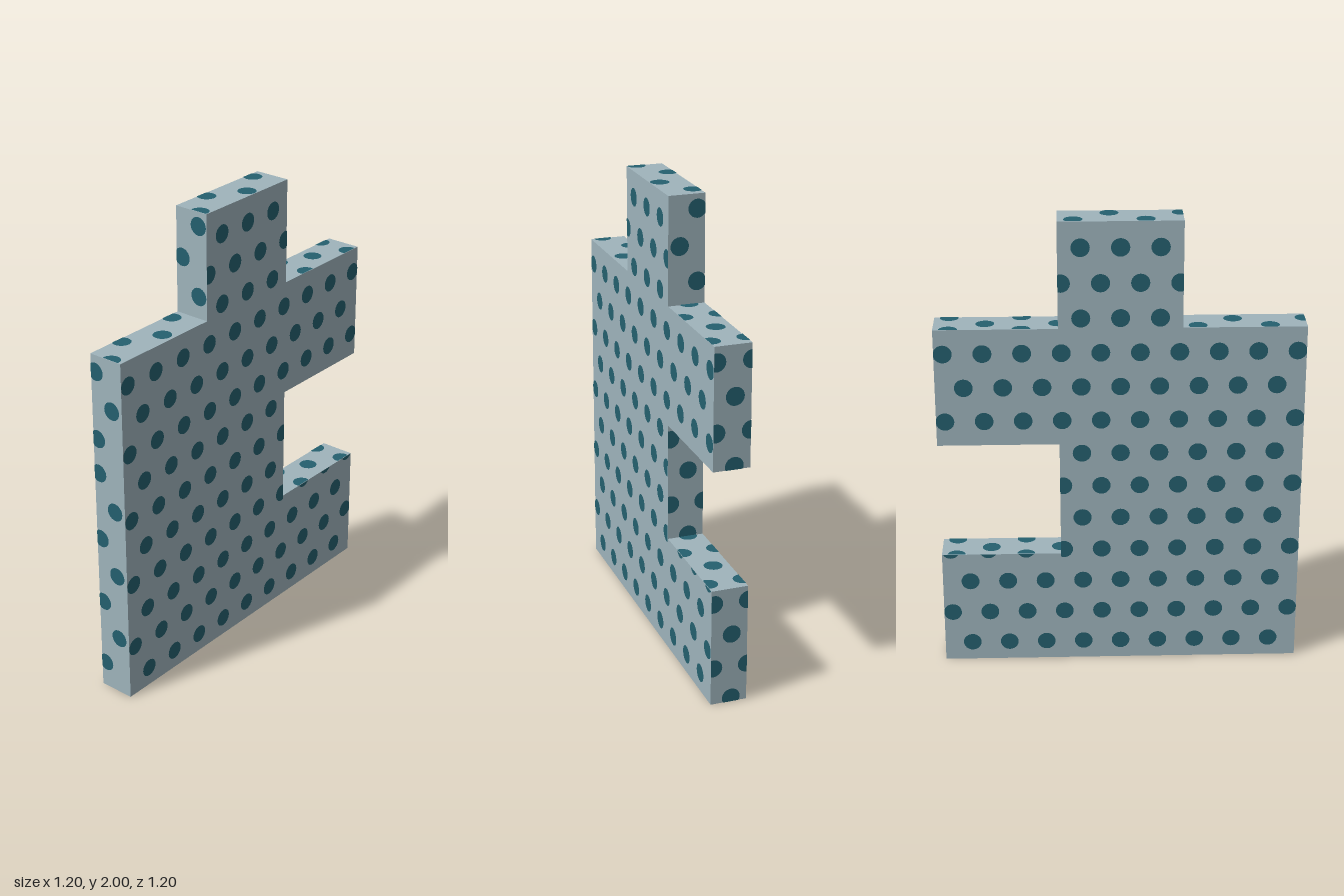
import * as THREE from 'three';
import { mergeGeometries } from 'three/addons/utils/BufferGeometryUtils.js';

const H = 0.771;          // half width of the plate
const C = H / 3;          // half width of the tab, and depth line of the notch
const T = 0.1556;         // plate thickness
const Y1 = 0.515, Y2 = 1.03, Y3 = 1.545, Y4 = 2;
const R = 0.039;          // dot radius
const LIFT = 0.0015;

// A flat dot cut off at the edges of a rectangle [x0, x1, y0, y1]
function dot(x, y, [x0, x1, y0, y1]) {
  const geo = new THREE.CircleGeometry(R, 24);
  const p = geo.attributes.position;
  for (let i = 0; i < p.count; i++) {
    p.setXY(i,
      THREE.MathUtils.clamp(p.getX(i) + x, x0, x1),
      THREE.MathUtils.clamp(p.getY(i) + y, y0, y1));
  }
  return geo;
}

// Dots of the broad faces: staggered rows, cut to the outline
function broadDots() {
  const list = [];
  for (let row = 0; row < 13; row++) {
    const y = 0.085 + row * 0.1505;
    const n = row % 2 ? 10 : 9;
    for (let i = 0; i < n; i++) {
      const x = (i - (n - 1) / 2) * 0.163;
      const inTab = y > Y3, inNotch = y > Y1 && y < Y2;
      if (inTab && Math.abs(x) > C) continue;
      if (inNotch && x > C) {
        // only the part reaching down into the lower arm remains
        if (y - R < Y1) list.push(dot(x, y, [C, H, 0, Y1]));
        continue;
      }
      list.push(dot(x, y, [inTab ? -C : -H, inTab || inNotch ? C : H, 0, Y4]));
    }
  }
  return mergeGeometries(list);
}

// Rows for narrow faces: zigzag, or single dots alternating with edge pairs
const zigzag = (start, step, count, a, b) =>
  Array.from({ length: count }, (_, i) => [start + i * step, i % 2 ? b : a]);
const triple = (start, step, count, pairFirst) =>
  Array.from({ length: count }, (_, i) => {
    const s = start + i * step;
    return (i % 2 === 0) === pairFirst ? [[s, 0.068], [s, -0.078]] : [[s, -0.01]];
  }).flat();

export function createModel() {
  const plateMat = new THREE.MeshStandardMaterial({ color: 0x9fb4bc });
  plateMat.name = 'paleGreyBlue';
  const dotMat = new THREE.MeshStandardMaterial({ color: 0x24606f });
  dotMat.name = 'darkTeal';

  const model = new THREE.Group();
  model.name = 'dottedPlate';
  model.rotation.y = Math.PI / 4;
  const add = (name, geo, mat) => {
    const mesh = new THREE.Mesh(geo, mat);
    mesh.name = name;
    model.add(mesh);
  };

  // Plate with a top tab and a side notch
  const outline = new THREE.Shape([
    [-H, 0], [H, 0], [H, Y1], [C, Y1], [C, Y2], [H, Y2], [H, Y3],
    [C, Y3], [C, Y4], [-C, Y4], [-C, Y3], [-H, Y3],
  ].map(([x, y]) => new THREE.Vector2(x, y)));
  const plate = new THREE.ExtrudeGeometry(outline, { depth: T, bevelEnabled: false });
  add('plate', plate.translate(0, 0, -T / 2), plateMat);

  // Dots on the broad faces; the back mirrors the front
  add('frontDots', broadDots().translate(0, 0, T / 2 + LIFT), dotMat);
  const back = broadDots().scale(1, 1, -1).translate(0, 0, -T / 2 - LIFT);
  const idx = back.index.array;
  for (let i = 0; i < idx.length; i += 3) [idx[i], idx[i + 1]] = [idx[i + 1], idx[i]];
  back.computeVertexNormals();
  add('backDots', back, dotMat);

  const W = T / 2;
  // Dots on an upright edge face; dots are [height, depth], side is -1 or 1
  const sideDots = (name, x, side, y0, y1, dots) => {
    const geo = mergeGeometries(dots.map(([y, w]) => dot(-side * w, y, [-W, W, y0, y1])));
    add(name, geo.rotateY(side * Math.PI / 2).translate(x + side * LIFT, 0, 0), dotMat);
  };
  sideDots('rightEdgeDots', -H, -1, 0, Y3, [
    ...zigzag(0.12, 0.151, 7, -0.054, 0.026), ...zigzag(1.18, 0.147, 3, -0.054, 0.026)]);
  sideDots('tabRightDots', -C, -1, Y3, Y4, zigzag(1.64, 0.15, 3, 0.037, -0.048));
  sideDots('tabLeftDots', C, 1, Y3, Y4, zigzag(1.64, 0.15, 3, -0.045, 0.03));
  sideDots('upperArmEndDots', H, 1, Y2, Y3, triple(1.045, 0.145, 4, false));
  sideDots('notchWallDots', C, 1, Y1, Y2, triple(0.525, 0.147, 4, false));
  sideDots('lowerArmEndDots', H, 1, 0, Y1, triple(0.02, 0.145, 4, false));

  // Dots on a level face; dots are [along, depth], up is 1 for tops, -1 for undersides
  const levelDots = (name, y, up, x0, x1, dots) => {
    const geo = mergeGeometries(dots.map(([x, w]) => dot(x, -up * w, [x0, x1, -W, W])));
    add(name, geo.rotateX(-up * Math.PI / 2).translate(0, y + up * LIFT, 0), dotMat);
  };
  levelDots('tabTopDots', Y4, 1, -C, C, zigzag(-0.25, 0.147, 4, 0.038, -0.05));
  levelDots('rightShoulderDots', Y3, 1, -H, -C, zigzag(-0.767, 0.149, 4, 0.026, -0.054));
  levelDots('leftShoulderDots', Y3, 1, C, H, triple(0.258, 0.15, 4, false));
  levelDots('lowerArmTopDots', Y1, 1, C, H, triple(0.258, 0.15, 4, false));
  levelDots('upperArmUndersideDots', Y2, -1, C, H, triple(0.258, 0.15, 4, false));
  levelDots('undersideDots', 0, -1, -H, H, zigzag(-0.767, 0.15, 11, 0.026, -0.054));

  const root = new THREE.Group();
  root.name = 'model';
  root.add(model);
  return root;
}
